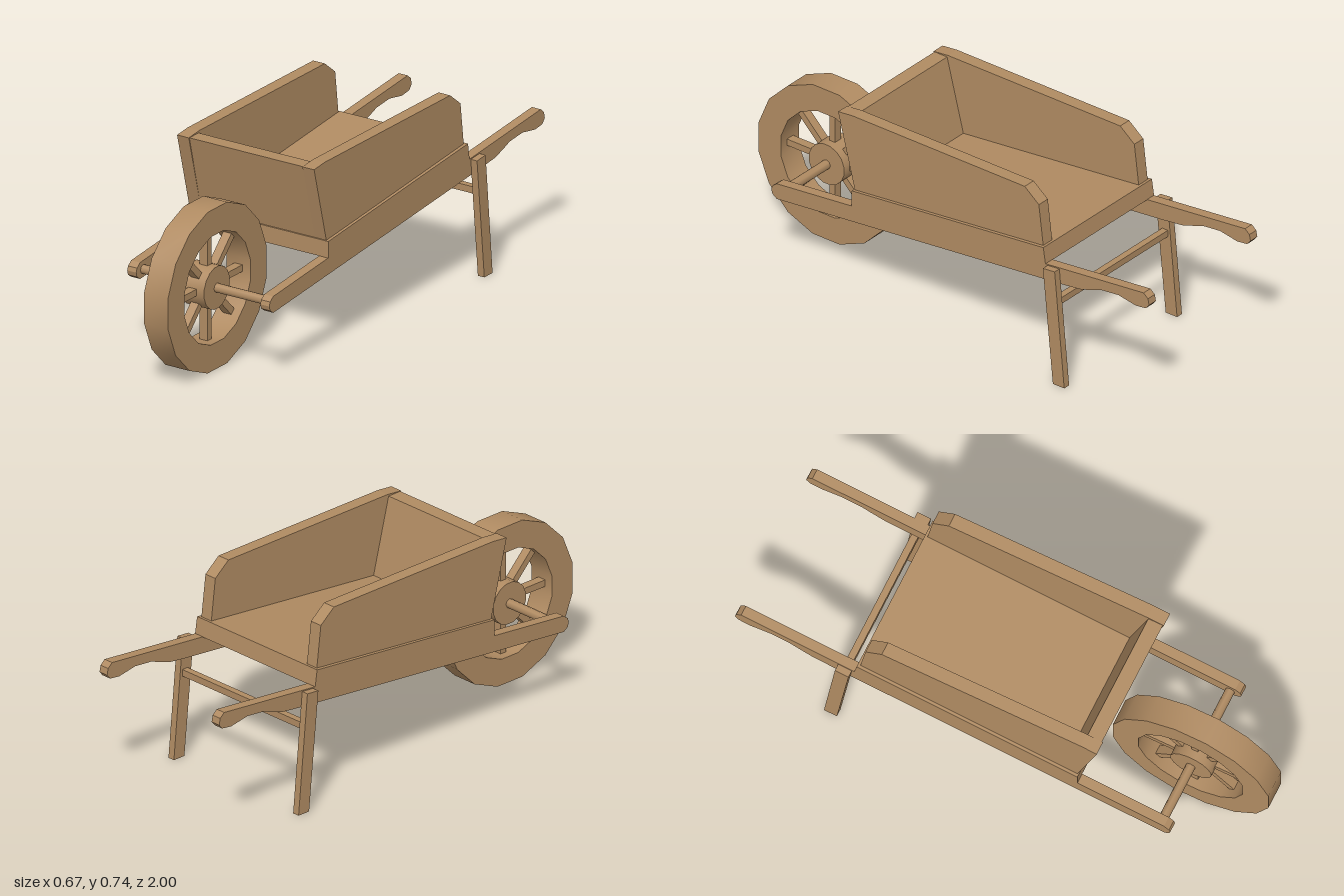
import * as THREE from 'three';
import { toCreasedNormals } from 'three/addons/utils/BufferGeometryUtils.js';

const WHEEL_Z = 0.69, WHEEL_Y = 0.31;

export function createModel() {
  const model = new THREE.Group();
  model.name = 'wheelbarrow';
  const wood = new THREE.MeshStandardMaterial({ color: 0xb08b62 });
  wood.name = 'wood';

  const add = (name, geometry, parent = model) => {
    const mesh = new THREE.Mesh(geometry, wood);
    mesh.name = name;
    parent.add(mesh);
    return mesh;
  };

  // Side outline given as [z, y] points, made solid between x0 and x1
  const slab = (shape, x0, x1) => {
    const g = new THREE.ExtrudeGeometry(shape, { depth: x1 - x0, bevelEnabled: false });
    return g.rotateY(-Math.PI / 2).translate(x1, 0, 0);
  };
  const outline = (points) => new THREE.Shape(points.map(([z, y]) => new THREE.Vector2(z, y)));

  // Regular polygon with flats at the top, bottom and sides
  const ring = (radius, sides) => Array.from({ length: sides }, (_, i) => {
    const a = ((i + 0.5) / sides) * Math.PI * 2;
    return [Math.cos(a) * radius, Math.sin(a) * radius];
  });

  // Wheel: rim, hub and spokes
  const wheel = new THREE.Group();
  wheel.name = 'wheel';
  wheel.position.set(0, WHEEL_Y, WHEEL_Z);
  model.add(wheel);
  const rim = outline(ring(0.316, 16));
  rim.holes.push(outline(ring(0.212, 16)));
  add('rim', toCreasedNormals(slab(rim, -0.052, 0.052), 0.6), wheel);
  add('hub', toCreasedNormals(slab(outline(ring(0.082, 16)), -0.05, 0.05), 0.6), wheel);
  for (let i = 0; i < 8; i++) {
    const spoke = new THREE.BoxGeometry(0.035, 0.16, 0.026).translate(0, 0.145, 0);
    add('spoke', spoke, wheel).rotation.x = (i * Math.PI) / 4;
  }
  add('axle', new THREE.CylinderGeometry(0.018, 0.018, 0.56, 8).rotateZ(Math.PI / 2), wheel);

  // Sloping bed
  add('bed', slab(outline([[0.365, 0.376], [0.365, 0.44], [-0.515, 0.53], [-0.525, 0.465]]), -0.31, 0.31));

  // Leaning front board
  add('frontBoard', slab(outline([[0.36, 0.44], [0.433, 0.736], [0.375, 0.736], [0.3, 0.445]]), -0.248, 0.248));

  // Rails with shaped handles, side boards and legs, mirrored
  const rail = outline([
    [0.71, 0.278], [0.73, 0.292], [0.735, 0.31], [0.73, 0.326], [0.71, 0.341],
    [-0.975, 0.512], [-0.995, 0.495], [-1, 0.47], [-0.985, 0.452], [-0.94, 0.446],
    [-0.86, 0.46], [-0.78, 0.452], [-0.74, 0.437], [-0.69, 0.42], [-0.6, 0.409],
  ]);
  const sideBoard = outline([
    [0.36, 0.44], [0.437, 0.737], [0.37, 0.744], [-0.42, 0.744], [-0.485, 0.692], [-0.505, 0.53],
  ]);
  const leg = outline([[-0.534, 0.463], [-0.588, 0.468], [-0.632, 0], [-0.58, 0]]);
  for (const [side, label] of [[1, 'left'], [-1, 'right']]) {
    const pair = (shape, inner, outer) => slab(shape, Math.min(side * inner, side * outer), Math.max(side * inner, side * outer));
    add(label + 'Rail', pair(rail, 0.27, 0.309));
    add(label + 'SideBoard', pair(sideBoard, 0.247, 0.298));
    add(label + 'Leg', pair(leg, 0.308, 0.336));
  }

  // Crossbar between the legs
  add('crossbar', new THREE.BoxGeometry(0.62, 0.026, 0.026).translate(0, 0.332, -0.577));

  return model;
}
